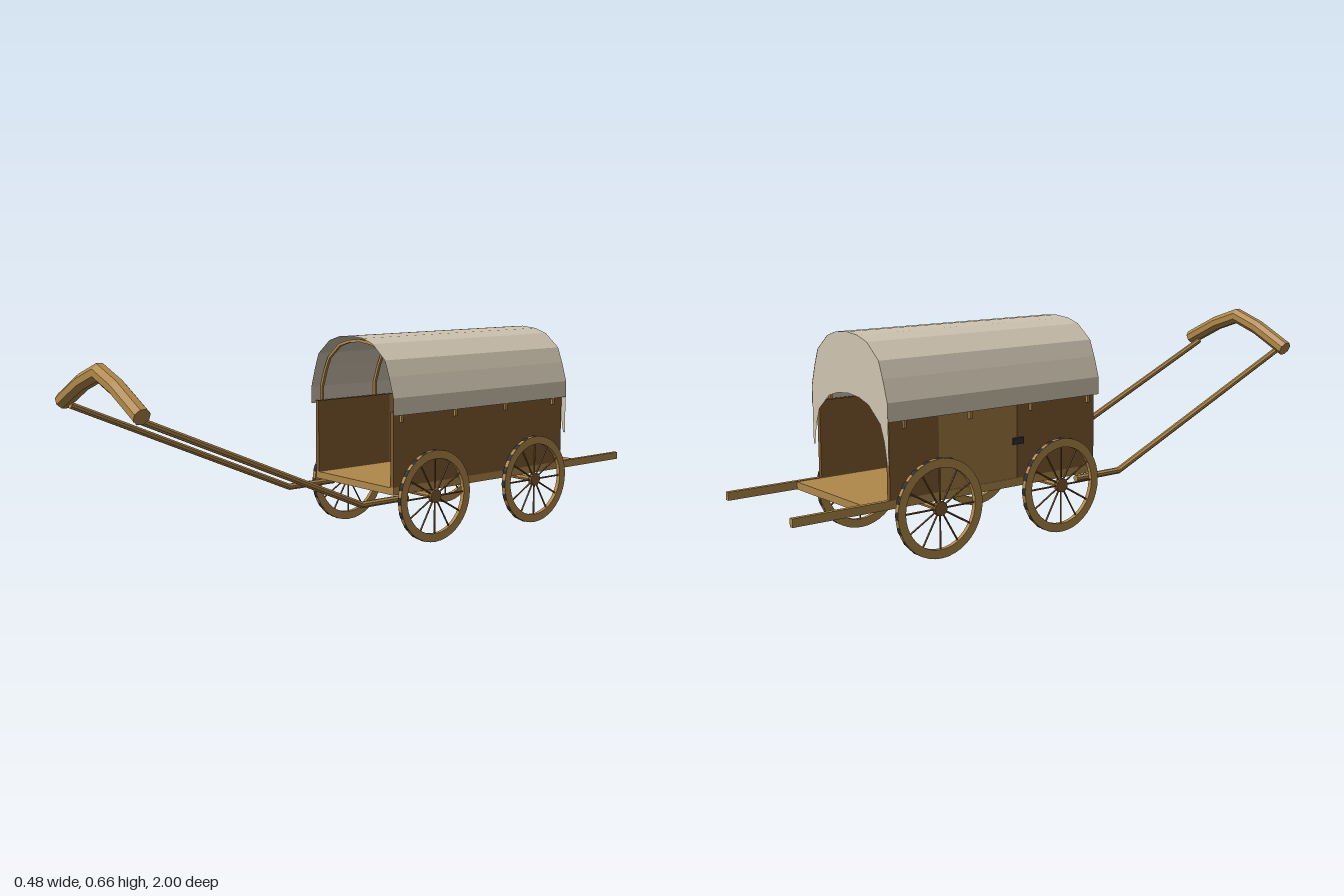
import * as THREE from 'three';

const mat = (color, side = THREE.FrontSide) => new THREE.MeshStandardMaterial({ color, side, flatShading: true });
const wood = mat(0xb0884a);
const plank = mat(0x805a2e);
const doorWood = mat(0xa07a42);
const iron = mat(0x2e2f32);
const cloth = mat(0xcfc4b0, THREE.DoubleSide);

function add(parent, name, geometry, material, x = 0, y = 0, z = 0) {
  const mesh = new THREE.Mesh(geometry, material);
  mesh.name = name;
  mesh.position.set(x, y, z);
  parent.add(mesh);
  return mesh;
}

// Box given by its low and high corners
function slab(parent, name, material, lo, hi) {
  const size = hi.map((v, i) => v - lo[i]);
  const mid = hi.map((v, i) => (v + lo[i]) / 2);
  return add(parent, name, new THREE.BoxGeometry(...size), material, ...mid);
}

// Mitred bar along a flat path in the xy plane; the section has `sides` corners
function bar(path, radius, sides) {
  const pts = path.map(([x, y]) => new THREE.Vector2(x, y));
  const pos = [], idx = [], n = pts.length;
  pts.forEach((p, i) => {
    const a = pts[Math.max(i, 1)].clone().sub(pts[Math.max(i, 1) - 1]).normalize();
    const j = Math.min(i, n - 2);
    const b = pts[j + 1].clone().sub(pts[j]).normalize();
    const t = a.clone().add(b).normalize();
    const k = radius / t.dot(a);
    for (let s = 0; s < sides; s++) {
      const w = ((s + 0.5) / sides) * Math.PI * 2;
      pos.push(p.x - t.y * k * Math.cos(w), p.y + t.x * k * Math.cos(w), radius * Math.sin(w));
    }
  });
  for (let i = 0; i < n - 1; i++) {
    for (let s = 0; s < sides; s++) {
      const q = (s + 1) % sides;
      const a = i * sides + s, b = i * sides + q;
      idx.push(a, b, a + sides, b, b + sides, a + sides);
    }
  }
  const last = (n - 1) * sides;
  for (let s = 1; s < sides - 1; s++) {
    idx.push(0, s + 1, s, last, last + s, last + s + 1);
  }
  const g = new THREE.BufferGeometry();
  g.setAttribute('position', new THREE.Float32BufferAttribute(pos, 3));
  g.setIndex(idx);
  g.computeVertexNormals();
  return g;
}

// Full arch from its right half, listed from the foot to the crown
const mirrorArch = half => [...half, ...half.slice(0, -1).reverse().map(([x, y]) => [-x, y])];

function makeWheel() {
  const wheel = new THREE.Group();
  wheel.name = 'wheel';
  const ring = new THREE.Shape().absarc(0, 0, 0.149, 0, Math.PI * 2);
  ring.holes.push(new THREE.Path().absarc(0, 0, 0.122, 0, Math.PI * 2, true));
  const rim = new THREE.ExtrudeGeometry(ring, { depth: 0.014, bevelEnabled: false, curveSegments: 20 });
  rim.translate(0, 0, -0.007).rotateY(Math.PI / 2);
  add(wheel, 'rim', rim, wood);
  add(wheel, 'tire', new THREE.CylinderGeometry(0.15, 0.15, 0.015, 20, 1, true).rotateX(Math.PI / 2).rotateY(Math.PI / 2), iron);
  add(wheel, 'hub', new THREE.CylinderGeometry(0.022, 0.022, 0.015, 12).rotateZ(Math.PI / 2), plank);
  for (let i = 0; i < 12; i++) {
    const spoke = new THREE.CylinderGeometry(0.003, 0.003, 0.108, 6);
    spoke.translate(0, 0.071, 0).rotateX((i / 12) * Math.PI * 2);
    add(wheel, 'spoke', spoke, plank);
  }
  return wheel;
}

export function createModel() {
  const wagon = new THREE.Group();
  wagon.name = 'coveredHandWagon';

  // Floor
  slab(wagon, 'bed', wood, [-0.185, 0.167, -0.775], [0.185, 0.19, 0.08]);

  for (const s of [-1, 1]) {
    const x0 = Math.min(s * 0.185, s * 0.2), x1 = Math.max(s * 0.185, s * 0.2);
    // Side rails that run on as rear handles
    slab(wagon, 'sideRail', wood, [x0, 0.167, -1], [x1, 0.192, 0.08]);
    // Side walls; one of them holds a door
    if (s > 0) {
      slab(wagon, 'sideWall', plank, [x0, 0.192, -0.69], [x1, 0.43, 0.08]);
    } else {
      slab(wagon, 'frontSidePanel', plank, [x0, 0.192, -0.23], [x1, 0.43, 0.08]);
      slab(wagon, 'door', doorWood, [x0 + 0.002, 0.192, -0.52], [x1 - 0.002, 0.43, -0.23]);
      slab(wagon, 'rearSidePanel', plank, [x0, 0.192, -0.69], [x1, 0.43, -0.52]);
      slab(wagon, 'doorLatch', iron, [x0 - 0.006, 0.298, -0.25], [x0, 0.318, -0.21]);
    }
    // Pull shafts, drawn in the side plane and turned to run forward
    const shaft = bar([[0.015, 0.152], [0.2, 0.152], [0.972, 0.487]], 0.0105, 8).rotateY(-Math.PI / 2);
    add(wagon, 'pullShaft', shaft, wood, s * 0.19);
  }

  // Bowed pull handle
  const grip = mirrorArch([[0.23, 0.496], [0.1, 0.562], [0, 0.597]]).reverse();
  add(wagon, 'pullHandle', bar(grip, 0.026, 8), wood, 0, 0, 0.974);

  // Axles and wheels
  for (const z of [-0.075, -0.535]) {
    add(wagon, 'axle', new THREE.CylinderGeometry(0.01, 0.01, 0.44, 8).rotateZ(Math.PI / 2), wood, 0, 0.15, z);
    for (const s of [-1, 1]) {
      const wheel = makeWheel();
      wheel.position.set(s * 0.2225, 0.15, z);
      wagon.add(wheel);
    }
  }

  // Bent hoops under the cover
  const hoop = bar(mirrorArch([[0.204, 0.397], [0.204, 0.475], [0.182, 0.535], [0.162, 0.575],
    [0.106, 0.62], [0.057, 0.634], [0, 0.64]]), 0.0065, 4);
  for (let i = 0; i < 4; i++) add(wagon, 'hoop', hoop, wood, 0, 0, 0.05 - i * 0.23);

  // Cloth cover: an open sheet bent over the arch
  const half = [[0.211, 0.475], [0.19, 0.54], [0.17, 0.59], [0.11, 0.637], [0.06, 0.652], [0, 0.657]];
  const arch = mirrorArch([[0.212, 0.42], ...half]);
  const cover = new THREE.PlaneGeometry(1, 1, arch.length - 1, 1);
  const p = cover.attributes.position;
  for (let i = 0; i < p.count; i++) {
    const [x, y] = arch[i % arch.length];
    p.setXYZ(i, x, y, i < arch.length ? 0.09 : -0.7);
  }
  cover.computeVertexNormals();
  add(wagon, 'clothCover', cover, cloth);

  // Rear curtain: follows the arch, with the same arch cut out lower down
  const upper = mirrorArch(half);
  const lower = mirrorArch([[0.211, 0.295], [0.203, 0.295], ...half.slice(1).map(([x, y]) => [x, y - 0.18])]);
  const outline = [...upper, ...lower.reverse()].map(([x, y]) => new THREE.Vector2(x, y));
  add(wagon, 'rearCurtain', new THREE.ShapeGeometry(new THREE.Shape(outline)), cloth, 0, 0, -0.699);

  return wagon;
}
